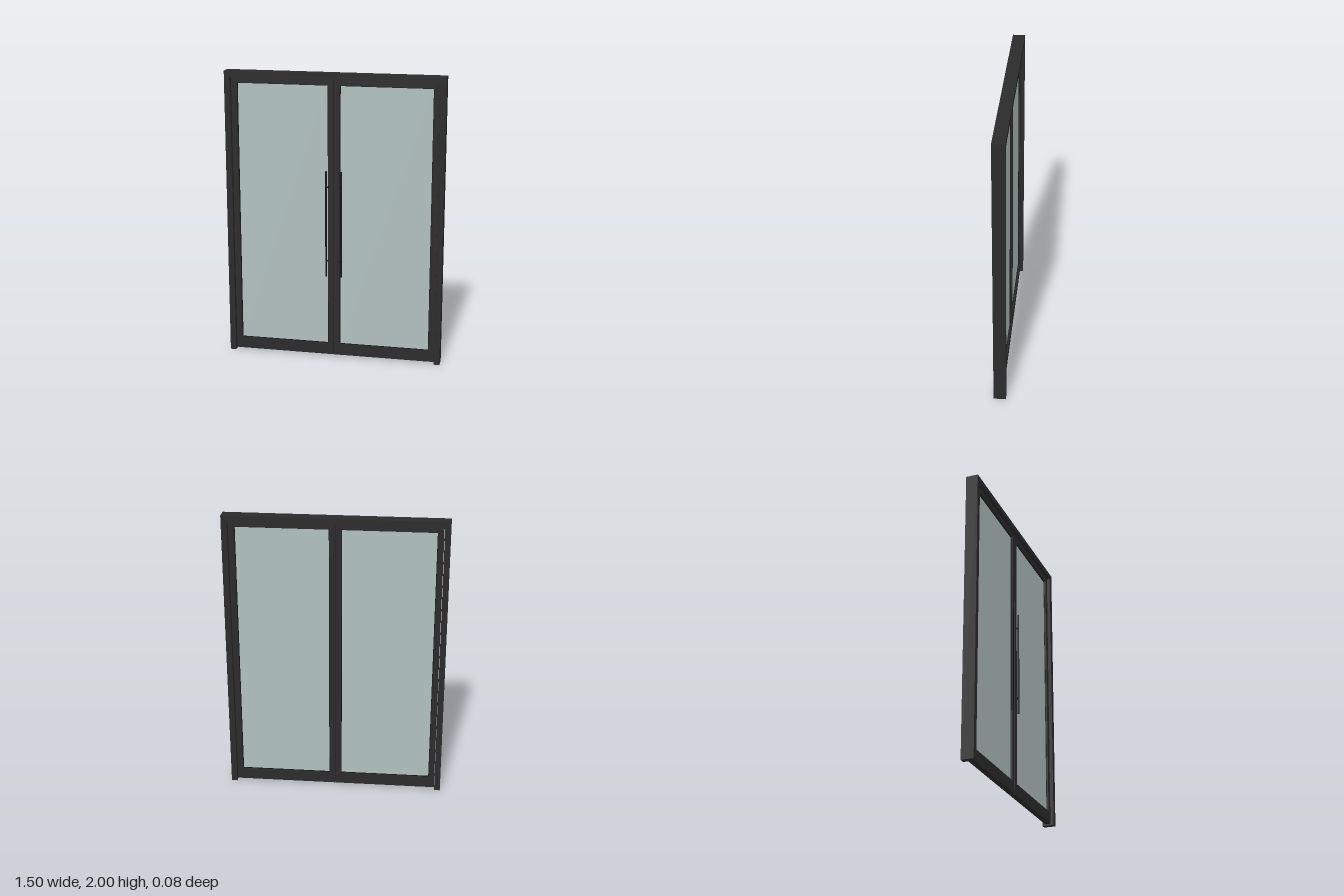
import * as THREE from 'three';

const material = (name, color) => {
  const m = new THREE.MeshStandardMaterial({ color });
  m.name = name;
  return m;
};

// Rectangular outline between two corners
const rect = (Type, x0, y0, x1, y1) => new Type([
  new THREE.Vector2(x0, y0), new THREE.Vector2(x1, y0),
  new THREE.Vector2(x1, y1), new THREE.Vector2(x0, y1),
]);

// Flat outline given thickness, centred on z = 0
function slab(name, shape, depth, mat) {
  const geo = new THREE.ExtrudeGeometry(shape, { depth, bevelEnabled: false });
  geo.translate(0, 0, -depth / 2);
  const mesh = new THREE.Mesh(geo, mat);
  mesh.name = name;
  return mesh;
}

// Rectangular ring: outer corners, inner corners
function ring(name, o, i, depth, mat) {
  const shape = rect(THREE.Shape, ...o);
  shape.holes.push(rect(THREE.Path, ...i));
  return slab(name, shape, depth, mat);
}

export function createModel() {
  const frameMat = material('dark frame', 0x2b2b2b);
  const handleMat = material('black trim', 0x131414);
  const glassMat = material('pale glass', 0xb0c0be);
  const model = new THREE.Group();
  model.name = 'doubleDoor';

  // Outer frame: two jambs and a head, open at the floor
  const outline = [[-0.75, 0], [-0.71, 0], [-0.71, 1.96], [0.71, 1.96],
    [0.71, 0], [0.75, 0], [0.75, 2], [-0.75, 2]];
  const frameShape = new THREE.Shape(outline.map(([x, y]) => new THREE.Vector2(x, y)));
  model.add(slab('outerFrame', frameShape, 0.084, frameMat));

  for (const side of [1, -1]) {
    const leaf = new THREE.Group();
    leaf.name = side > 0 ? 'leftLeaf' : 'rightLeaf';
    const span = (a, y0, b, y1) => side > 0 ? [a, y0, b, y1] : [-b, y0, -a, y1];

    // Stiles and rails, glazing bead and pane
    const opening = span(0.04, 0.09, 0.668, 1.92);
    const sight = span(0.044, 0.094, 0.664, 1.916);
    leaf.add(ring('leafFrame', span(0.002, 0.01, 0.707, 1.957), opening, 0.04, frameMat));
    leaf.add(ring('glazingBead', opening, sight, 0.02, handleMat));
    leaf.add(slab('glassPane', rect(THREE.Shape, ...sight), 0.012, glassMat));

    // Long pull bar on the front with short brackets to the stile
    const bar = new THREE.Mesh(new THREE.CylinderGeometry(0.006, 0.006, 0.745, 16), handleMat);
    bar.name = 'pullHandle';
    bar.position.set(side * 0.053, 0.963, 0.027);
    leaf.add(bar);
    for (const y of [0.7, 1.226]) {
      const bracket = new THREE.Mesh(new THREE.BoxGeometry(0.018, 0.008, 0.008), handleMat);
      bracket.name = 'handleBracket';
      bracket.position.set(side * 0.043, y, 0.023);
      leaf.add(bracket);
    }
    model.add(leaf);
  }
  return model;
}
